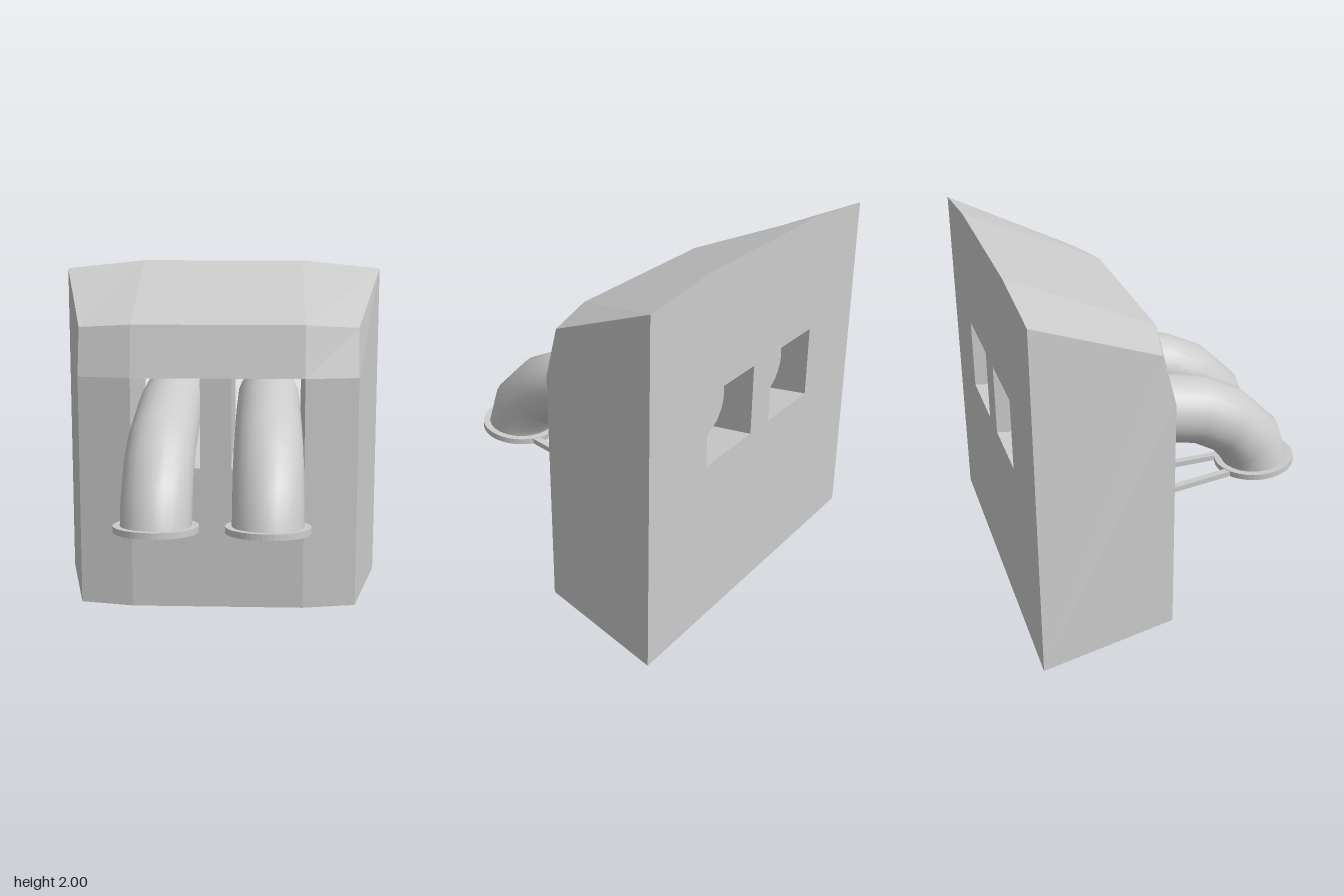
import * as THREE from 'three';

const material = new THREE.MeshStandardMaterial({ color: 0xcccccc });
const openMaterial = new THREE.MeshStandardMaterial({ color: 0xcccccc, side: THREE.DoubleSide });

const BACK = -0.84;
// window openings: [x min, x max]
const WINDOWS = [[-0.5, -0.1], [0.08, 0.5]];
const SILL_FRONT = 0.83, SILL_BACK = 0.95, LINTEL = 1.35;

function mesh(name, geometry, mat = material) {
  const m = new THREE.Mesh(geometry, mat);
  m.name = name;
  return m;
}

// flat-shaded geometry from convex polygons, corners counter-clockwise from outside
function facesGeometry(faces) {
  const pos = [];
  for (const f of faces)
    for (let i = 1; i < f.length - 1; i++) pos.push(...f[0], ...f[i], ...f[i + 1]);
  const g = new THREE.BufferGeometry();
  g.setAttribute('position', new THREE.Float32BufferAttribute(pos, 3));
  g.computeVertexNormals();
  return g;
}

const mirror = (face) => face.map(([x, y, z]) => [-x, y, z]).reverse();

function createBody() {
  const body = new THREE.Group();
  body.name = 'body';

  // corner columns of one half, from ground to roof ridge
  const inner = [[0.5, 0, 0], [0.5, LINTEL, 0], [0.5, 1.65, -0.065], [0.5, 2, BACK]];
  const outer = [[0.81, 0, -0.065], [0.81, LINTEL, -0.065], [0.81, 1.63, -0.14], [0.985, 1.95, BACK]];
  const backFoot = [0.985, 0, BACK];
  const flip = ([x, y, z]) => [-x, y, z];
  const faces = [];

  for (let i = 0; i < 3; i++) {
    const slant = [inner[i], outer[i], outer[i + 1], inner[i + 1]];
    faces.push(slant, mirror(slant));
    // centre strip of brow and roof
    if (i > 0) faces.push([flip(inner[i]), inner[i], inner[i + 1], flip(inner[i + 1])]);
  }
  const side = [outer[3], outer[2], outer[1], outer[0], backFoot];
  faces.push(side, mirror(side));
  faces.push([flip(backFoot), backFoot, outer[0], inner[0], flip(inner[0]), flip(outer[0])]);

  // front wall below the windows and the pillar between them
  const rect = (x0, x1, y0, y1, z) => [[x0, y0, z], [x1, y0, z], [x1, y1, z], [x0, y1, z]];
  faces.push(rect(-0.5, 0.5, 0, SILL_FRONT, 0));
  faces.push(rect(WINDOWS[0][1], WINDOWS[1][0], SILL_FRONT, LINTEL, 0));
  body.add(mesh('shell', facesGeometry(faces)));

  // window tunnels with a floor rising to the back
  const tunnels = [];
  for (const [x0, x1] of WINDOWS) {
    const f = rect(x0, x1, SILL_FRONT, LINTEL, 0);
    const b = rect(x0, x1, SILL_BACK, LINTEL, BACK);
    for (let i = 0; i < 4; i++) {
      const j = (i + 1) % 4;
      tunnels.push([f[i], f[j], b[j], b[i]]);
    }
  }
  body.add(mesh('windowTunnels', facesGeometry(tunnels)));

  // back wall with window holes, drawn mirrored then turned around
  const v = (x, y) => new THREE.Vector2(x, y);
  const wall = new THREE.Shape([
    v(-0.985, 0), v(0.985, 0), v(0.985, 1.95), v(0.5, 2), v(-0.5, 2), v(-0.985, 1.95),
  ]);
  for (const [x0, x1] of WINDOWS)
    wall.holes.push(new THREE.Path([v(-x0, SILL_BACK), v(-x0, LINTEL), v(-x1, LINTEL), v(-x1, SILL_BACK)]));
  const backWall = mesh('backWall', new THREE.ShapeGeometry(wall));
  backWall.rotation.y = Math.PI;
  backWall.position.z = BACK;
  body.add(backWall);
  return body;
}

const PIPE_RADIUS = 0.191, PIPE_SIDES = 24;
// pipe rings: [z, y, tilt in degrees of the ring's outer side]
const PIPE_RINGS = [
  [-0.68, 1.155, 90], [-0.3, 1.125, 84], [0, 1.063, 79], [0.255, 1.008, 76],
  [0.435, 0.912, 63], [0.575, 0.76, 36], [0.613, 0.64, 4],
];

function pipeGeometry() {
  const pos = [], index = [], n = PIPE_SIDES;
  PIPE_RINGS.forEach(([z, y, deg], i) => {
    const a = THREE.MathUtils.degToRad(deg);
    for (let k = 0; k < n; k++) {
      const t = (k / n) * Math.PI * 2;
      const s = PIPE_RADIUS * Math.sin(t);
      pos.push(PIPE_RADIUS * Math.cos(t), y + s * Math.sin(a), z + s * Math.cos(a));
      if (i === PIPE_RINGS.length - 1) continue;
      const p = i * n + k, q = i * n + ((k + 1) % n);
      index.push(p, q, q + n, p, q + n, p + n);
    }
  });
  const g = new THREE.BufferGeometry();
  g.setAttribute('position', new THREE.Float32BufferAttribute(pos, 3));
  g.setIndex(index);
  g.computeVertexNormals();
  return g;
}

function createChute(x) {
  const chute = new THREE.Group();
  chute.name = 'chute';
  chute.position.x = x;
  chute.add(mesh('pipe', pipeGeometry(), openMaterial));

  // closed end inside the tunnel
  const cap = mesh('pipeCap', new THREE.CircleGeometry(PIPE_RADIUS, PIPE_SIDES));
  cap.rotation.y = Math.PI;
  cap.position.set(0, PIPE_RINGS[0][1], PIPE_RINGS[0][0]);
  chute.add(cap);

  // flat collar around the mouth, slightly tilted
  const ring = new THREE.Shape().absarc(0, 0, 0.227, 0, Math.PI * 2);
  ring.holes.push(new THREE.Path().absarc(0, 0, 0.185, 0, Math.PI * 2, true));
  const collarGeometry = new THREE.ExtrudeGeometry(ring, { depth: 0.034, bevelEnabled: false, curveSegments: 24 });
  collarGeometry.translate(0, 0, -0.017).rotateX(-Math.PI / 2);
  const collar = mesh('collar', collarGeometry);
  collar.rotation.x = -0.065;
  collar.position.set(0, 0.632, 0.613);
  chute.add(collar);

  // two struts from the collar back to the wall
  for (const s of [-1, 1]) {
    const from = new THREE.Vector3(s * 0.095, 0.619, 0.435);
    const to = new THREE.Vector3(s * 0.13, 0.59, -0.01);
    const strut = mesh('strut', new THREE.BoxGeometry(0.04, 0.03, from.distanceTo(to)));
    strut.position.copy(from).lerp(to, 0.5);
    strut.lookAt(from);
    chute.add(strut);
  }
  return chute;
}

export function createModel() {
  const model = new THREE.Group();
  model.name = 'wallWithChutes';
  model.add(createBody());
  for (const x of [-0.297, 0.293]) model.add(createChute(x));
  return model;
}
